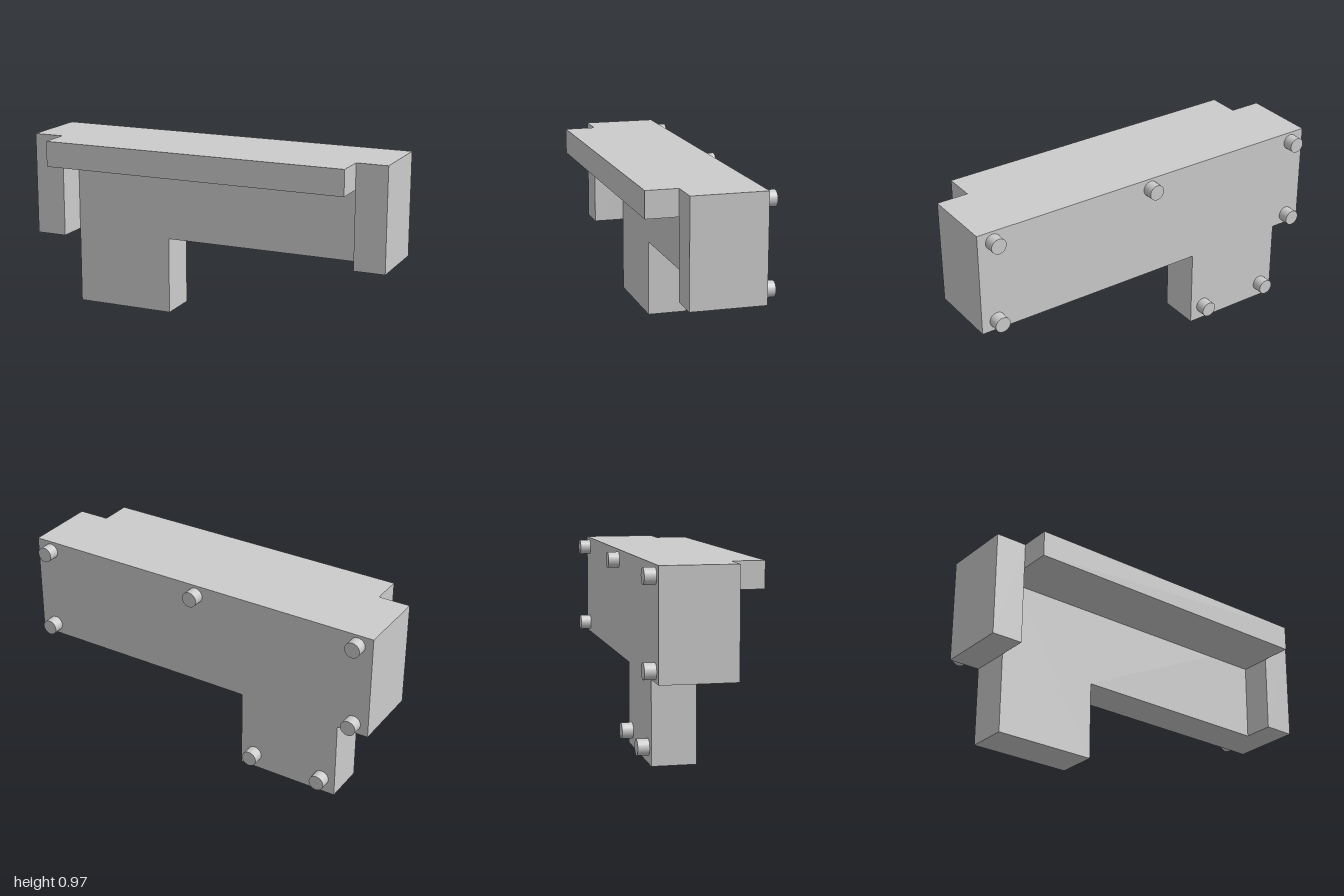
import * as THREE from 'three';

const BACK = -0.248, PANEL = -0.028;

export function createModel() {
  const group = new THREE.Group();
  const material = new THREE.MeshStandardMaterial({ color: 0xcccccc });

  function add(name, geometry, x = 0, y = 0, z = 0) {
    const mesh = new THREE.Mesh(geometry, material);
    mesh.name = name;
    mesh.position.set(x, y, z);
    group.add(mesh);
    return mesh;
  }

  // Box given by its limits on each axis
  function block(name, x0, x1, y0, y1, z0, z1) {
    add(name, new THREE.BoxGeometry(x1 - x0, y1 - y0, z1 - z0),
      (x0 + x1) / 2, (y0 + y1) / 2, (z0 + z1) / 2);
  }

  // Back panel with the leg hanging from it, as one outline
  const outline = new THREE.Shape([
    [-0.833, 0], [-0.281, 0], [-0.281, 0.419], [0.833, 0.419],
    [0.833, 0.973], [-0.833, 0.973],
  ].map(([x, y]) => new THREE.Vector2(x, y)));
  add('backPanelWithLeg', new THREE.ExtrudeGeometry(outline, {
    depth: PANEL - BACK, bevelEnabled: false,
  }), 0, 0, BACK);

  // Deep end blocks
  block('rightEndBlock', -1, -0.833, 0.419, 0.973, BACK, 0.139);
  block('leftEndBlock', 0.833, 1, 0.419, 0.973, BACK, 0.139);

  // Overhanging top ledge
  block('topLedge', -0.833, 0.833, 0.836, 0.973, PANEL, 0.306);

  // Round pegs on the back
  const pegGeometry = new THREE.CylinderGeometry(0.041, 0.041, 0.058, 24).rotateX(Math.PI / 2);
  const pegs = [
    [-0.917, 0.918], [0, 0.918], [0.915, 0.918],
    [-0.917, 0.474], [0.915, 0.474],
    [-0.757, 0.08], [-0.36, 0.08],
  ];
  for (const [x, y] of pegs) add('peg', pegGeometry, x, y, BACK - 0.029);

  return group;
}
